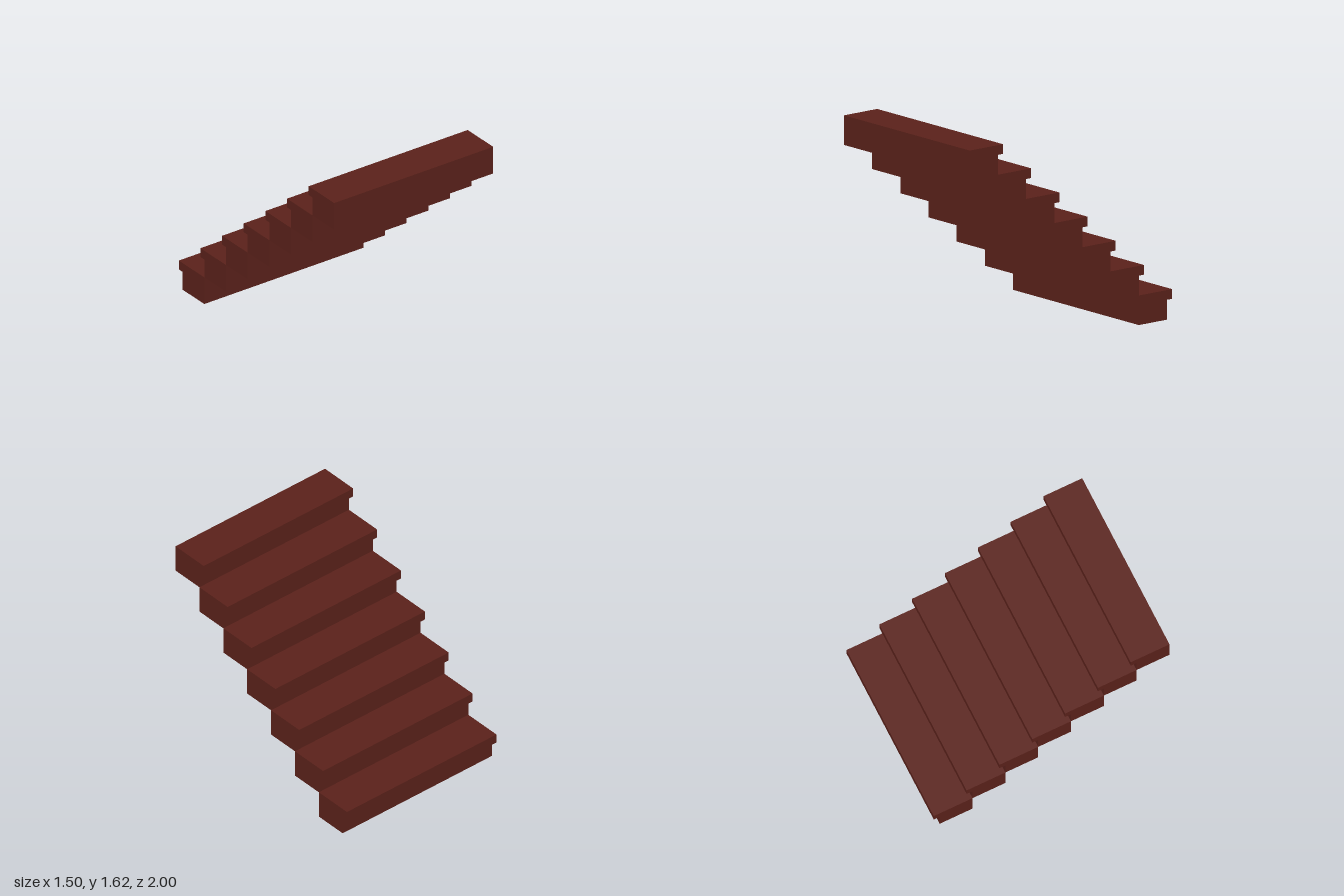
import * as THREE from 'three';

const STEPS = 7;
const WIDTH = 1.5;
const RISE = 1.62 / STEPS;
const NOSING = 0.05;   // overhang of each tread
const LIP = 0.076;     // thickness of the overhang
const RUN = (2 - NOSING) / STEPS;

// Solid step, drawn in side profile and extruded across the width
function stepGeometry() {
  const profile = new THREE.Shape([
    [0, 0], [RUN, 0], [RUN, RISE], [-NOSING, RISE], [-NOSING, RISE - LIP], [0, RISE - LIP],
  ].map(([z, y]) => new THREE.Vector2(z, y)));
  const geometry = new THREE.ExtrudeGeometry(profile, { depth: WIDTH, bevelEnabled: false });
  geometry.translate(0, 0, -WIDTH / 2);
  geometry.rotateY(-Math.PI / 2);
  return geometry;
}

export function createModel() {
  const group = new THREE.Group();
  group.name = 'staircase';
  const material = new THREE.MeshStandardMaterial({ color: 0x5a211a });
  const geometry = stepGeometry();

  // Steps climb from the back (-z) up to the front (+z)
  for (let i = 0; i < STEPS; i++) {
    const step = new THREE.Mesh(geometry, material);
    step.name = `step${i + 1}`;
    step.position.set(0, i * RISE, -1 + NOSING + i * RUN);
    group.add(step);
  }
  return group;
}
